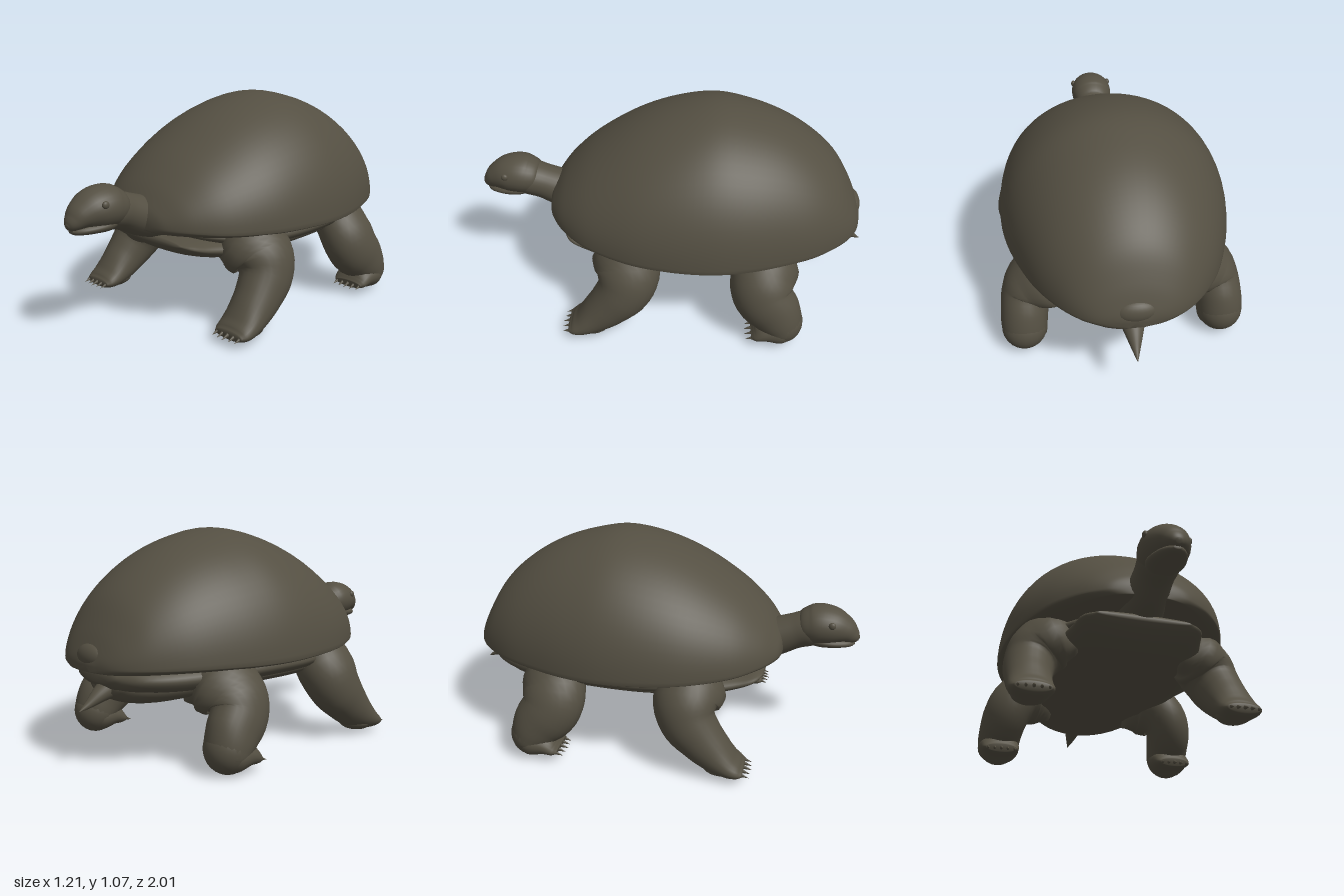
import * as THREE from 'three';

const skin = new THREE.MeshStandardMaterial({ color: 0x544f42 });
skin.name = 'olive brown';

// Skins a list of closed rings (arrays of Vector3) with smooth normals and end caps.
function skinRings(name, rings) {
  const n = rings[0].length, pos = [], idx = [];
  for (const ring of rings) for (const p of ring) pos.push(p.x, p.y, p.z);
  for (let i = 0; i < rings.length - 1; i++) {
    for (let j = 0; j < n; j++) {
      const k = (j + 1) % n, a = i * n + j, b = i * n + k;
      idx.push(a, b, a + n, b, b + n, a + n);
    }
  }
  for (const end of [0, rings.length - 1]) {
    const c = new THREE.Vector3();
    rings[end].forEach((p) => c.addScaledVector(p, 1 / n));
    const m = pos.length / 3;
    pos.push(c.x, c.y, c.z);
    for (let j = 0; j < n; j++) {
      const a = end * n + j, b = end * n + (j + 1) % n;
      if (end) idx.push(m, a, b); else idx.push(m, b, a);
    }
  }
  const geo = new THREE.BufferGeometry();
  geo.setAttribute('position', new THREE.Float32BufferAttribute(pos, 3));
  geo.setIndex(idx);
  geo.computeVertexNormals();
  const mesh = new THREE.Mesh(geo, skin);
  mesh.name = name;
  return mesh;
}

const smooth = (pts) => new THREE.CatmullRomCurve3(pts, false, 'catmullrom', 0.5);

// Elliptical tube through sections [x, y, z, half width, half depth].
function loft(name, sections, steps = 32, sides = 28) {
  const path = smooth(sections.map((s) => new THREE.Vector3(s[0], s[1], s[2])));
  const size = smooth(sections.map((s) => new THREE.Vector3(s[3], s[4], 0)));
  const rings = [];
  for (let i = 0; i <= steps; i++) {
    const u = i / steps, c = path.getPoint(u), r = size.getPoint(u), t = path.getTangent(u);
    const side = new THREE.Vector3(1, 0, 0).addScaledVector(t, -t.x).normalize();
    const up = new THREE.Vector3().crossVectors(t, side);
    const rx = Math.max(r.x, 0.002), ry = Math.max(r.y, 0.002);
    rings.push(Array.from({ length: sides }, (_, j) => {
      const a = (j / sides) * Math.PI * 2;
      return c.clone().addScaledVector(side, rx * Math.cos(a)).addScaledVector(up, ry * Math.sin(a));
    }));
  }
  return skinRings(name, rings);
}

function ellipsoid(name, x, y, z, rx, ry, rz) {
  const m = new THREE.Mesh(new THREE.SphereGeometry(1, 24, 16), skin);
  m.name = name;
  m.position.set(x, y, z);
  m.scale.set(rx, ry, rz);
  return m;
}

// Domed shell: sections [z, half width, top y, rim y], with a rim curling underneath.
function makeShell() {
  const sections = [
    [-0.965, 0.04, 0.49, 0.475], [-0.945, 0.16, 0.545, 0.475], [-0.9, 0.25, 0.645, 0.475],
    [-0.82, 0.335, 0.775, 0.475], [-0.7, 0.42, 0.885, 0.475], [-0.55, 0.488, 0.975, 0.473],
    [-0.38, 0.542, 1.035, 0.47], [-0.2, 0.57, 1.065, 0.47], [0, 0.565, 1.03, 0.475],
    [0.2, 0.525, 0.95, 0.48], [0.4, 0.435, 0.825, 0.49], [0.53, 0.325, 0.71, 0.503],
    [0.6, 0.22, 0.62, 0.51], [0.625, 0.14, 0.575, 0.515], [0.635, 0.03, 0.535, 0.52],
  ];
  const width = smooth(sections.map((s) => new THREE.Vector3(s[1], 0, s[0])));
  const height = smooth(sections.map((s) => new THREE.Vector3(s[2], s[3], 0)));
  const rings = [], n = 48, curl = 0.6;
  for (let i = 0; i <= 70; i++) {
    const w = width.getPoint(i / 70), h = height.getPoint(i / 70);
    rings.push(Array.from({ length: n + 1 }, (_, j) => {
      const a = -curl + (j / n) * (Math.PI + 2 * curl), s = Math.sin(a);
      return new THREE.Vector3(w.x * Math.cos(a), h.y + s * (s > 0 ? h.x - h.y : 0.05), w.z);
    }));
  }
  return skinRings('shell', rings);
}

// Row of claws pointing forward from a foot.
function addClaws(group, x, y, z) {
  for (let i = -2; i <= 2; i++) {
    const claw = new THREE.Mesh(new THREE.ConeGeometry(0.016, 0.085, 10), skin);
    claw.name = 'claw';
    claw.rotation.x = Math.PI / 2 + 0.3;
    claw.scale.z = 1.3;
    claw.position.set(x + i * 0.035, y, z - Math.abs(i) * 0.004);
    group.add(claw);
  }
}

function makeFrontLeg(s) {
  const g = new THREE.Group();
  g.name = s > 0 ? 'leftFrontLeg' : 'rightFrontLeg';
  g.add(loft('frontLimb', [
    [0.25, 0.43, 0.25, 0.06, 0.12], [0.35, 0.41, 0.23, 0.135, 0.17], [0.43, 0.35, 0.2, 0.14, 0.16],
    [0.47, 0.265, 0.22, 0.125, 0.142], [0.485, 0.185, 0.285, 0.113, 0.118],
    [0.49, 0.12, 0.355, 0.107, 0.095], [0.492, 0.075, 0.42, 0.106, 0.066],
    [0.492, 0.055, 0.47, 0.1, 0.042], [0.492, 0.05, 0.5, 0.082, 0.02],
  ].map(([x, ...r]) => [x * s, ...r])));
  g.add(ellipsoid('frontSole', 0.49 * s, 0.06, 0.39, 0.09, 0.05, 0.1));
  addClaws(g, 0.492 * s, 0.052, 0.5);
  return g;
}

function makeHindLeg(s) {
  const g = new THREE.Group();
  g.name = s > 0 ? 'leftHindLeg' : 'rightHindLeg';
  g.add(loft('hindLimb', [
    [0.22, 0.4, -0.53, 0.06, 0.13], [0.34, 0.39, -0.5, 0.125, 0.17], [0.43, 0.325, -0.465, 0.13, 0.16],
    [0.47, 0.25, -0.475, 0.122, 0.15], [0.485, 0.18, -0.53, 0.116, 0.135],
    [0.49, 0.12, -0.565, 0.112, 0.112], [0.49, 0.07, -0.575, 0.1, 0.09], [0.49, 0.03, -0.58, 0.05, 0.05],
  ].map(([x, ...r]) => [x * s, ...r])));
  g.add(ellipsoid('heel', 0.49 * s, 0.115, -0.57, 0.111, 0.115, 0.108));
  g.add(loft('hindFoot', [
    [0.49, 0.08, -0.65, 0.06, 0.04], [0.49, 0.085, -0.58, 0.108, 0.08], [0.49, 0.08, -0.5, 0.105, 0.065],
    [0.49, 0.06, -0.45, 0.097, 0.04], [0.49, 0.052, -0.425, 0.08, 0.02],
  ].map(([x, ...r]) => [x * s, ...r])));
  addClaws(g, 0.49 * s, 0.052, -0.425);
  return g;
}

function makeHead() {
  const g = new THREE.Group();
  g.name = 'head';
  g.add(loft('neck', [
    [0, 0.47, 0.36, 0.14, 0.08], [0, 0.495, 0.46, 0.12, 0.09], [0, 0.535, 0.58, 0.102, 0.098],
    [0, 0.575, 0.68, 0.095, 0.09], [0, 0.6, 0.76, 0.1, 0.09], [0, 0.61, 0.84, 0.08, 0.07],
  ]));
  g.add(loft('skull', [
    [0, 0.615, 0.685, 0.03, 0.03], [0, 0.615, 0.71, 0.085, 0.072], [0, 0.618, 0.76, 0.108, 0.097],
    [0, 0.625, 0.81, 0.115, 0.102], [0, 0.62, 0.87, 0.107, 0.093], [0, 0.603, 0.925, 0.082, 0.07],
    [0, 0.58, 0.965, 0.055, 0.045], [0, 0.567, 0.988, 0.034, 0.027], [0, 0.562, 1, 0.012, 0.012],
  ], 40));
  g.add(loft('lowerJaw', [
    [0, 0.56, 0.74, 0.06, 0.04], [0, 0.552, 0.81, 0.086, 0.04], [0, 0.547, 0.87, 0.084, 0.033],
    [0, 0.543, 0.93, 0.064, 0.026], [0, 0.54, 0.965, 0.04, 0.018], [0, 0.54, 0.982, 0.015, 0.008],
  ]));
  for (const s of [1, -1]) g.add(ellipsoid('eye', 0.102 * s, 0.658, 0.862, 0.013, 0.018, 0.018));
  return g;
}

export function createModel() {
  const model = new THREE.Group();
  model.name = 'tortoise';
  model.add(makeShell());
  model.add(ellipsoid('tailShield', 0, 0.51, -0.92, 0.1, 0.06, 0.05));

  // Soft body under the shell
  model.add(loft('body', [
    [0, 0.42, -0.9, 0.1, 0.03], [0, 0.41, -0.82, 0.26, 0.07], [0, 0.41, -0.62, 0.38, 0.1],
    [0, 0.425, -0.3, 0.47, 0.1], [0, 0.425, 0, 0.48, 0.1], [0, 0.425, 0.22, 0.42, 0.09],
    [0, 0.44, 0.38, 0.3, 0.05], [0, 0.45, 0.46, 0.18, 0.02],
  ], 40, 36));

  // Bowl-shaped belly plate, turned up at the front
  model.add(loft('bellyPlate', [
    [0, 0.37, -0.86, 0.1, 0.035], [0, 0.36, -0.78, 0.22, 0.08], [0, 0.365, -0.62, 0.32, 0.092],
    [0, 0.385, -0.3, 0.42, 0.08], [0, 0.385, 0, 0.43, 0.083], [0, 0.375, 0.28, 0.36, 0.077],
    [0, 0.388, 0.42, 0.32, 0.06], [0, 0.41, 0.51, 0.29, 0.037], [0, 0.422, 0.55, 0.22, 0.014],
  ], 40, 36));

  model.add(loft('tail', [
    [0, 0.4, -0.74, 0.09, 0.06], [0, 0.365, -0.82, 0.065, 0.055], [0, 0.33, -0.89, 0.042, 0.037],
    [0, 0.295, -0.95, 0.02, 0.018], [0, 0.27, -1, 0.002, 0.002],
  ]));

  for (const s of [1, -1]) model.add(makeFrontLeg(s), makeHindLeg(s));
  model.add(makeHead());
  return model;
}
